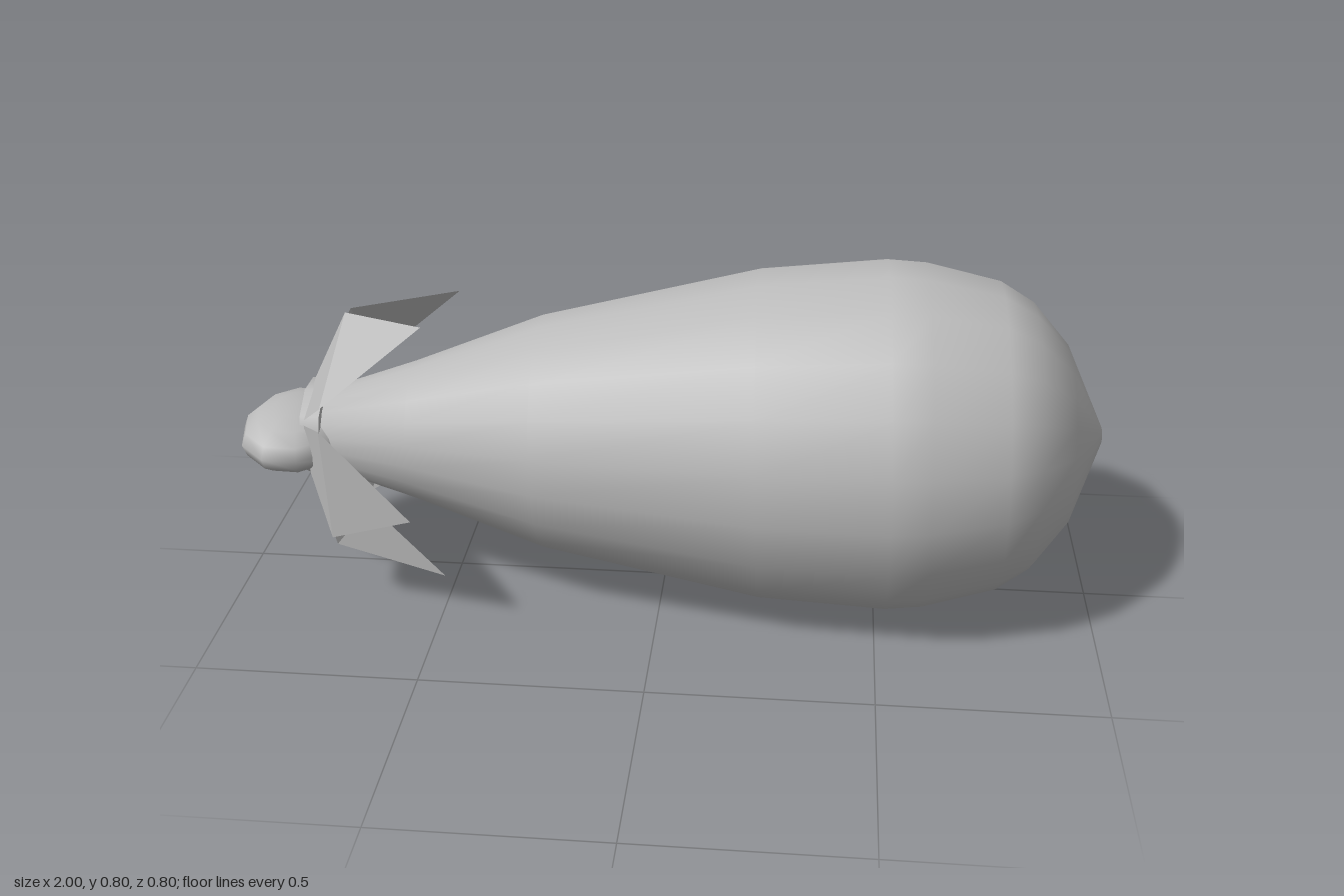
import * as THREE from 'three';

const skin = new THREE.MeshStandardMaterial({ color: 0xbbbbbb, side: THREE.DoubleSide });
skin.name = 'plain grey';

function part(name, geometry, parent) {
  const mesh = new THREE.Mesh(geometry, skin);
  mesh.name = name;
  parent.add(mesh);
  return mesh;
}

// One pointed sepal, bent back over the fruit; r is measured from the calyx axis (+z here)
function sepalGeometry() {
  const base = [-0.825, 0.1], mid = [-0.745, 0.242], tip = [-0.525, 0.363];
  const p = ([x, r], w) => [x, w, r];
  const bl = p(base, -0.065), br = p(base, 0.065);
  const ml = p(mid, -0.145), mr = p(mid, 0.145), t = p(tip, 0);
  const g = new THREE.BufferGeometry();
  const corners = [bl, mr, br, bl, ml, mr, ml, t, mr].flat();
  g.setAttribute('position', new THREE.Float32BufferAttribute(corners, 3));
  g.computeVertexNormals();
  return g;
}

export function createModel() {
  const model = new THREE.Group();
  model.name = 'eggplant';

  // Fruit: a long pear profile turned about the x axis, slightly tilted
  const profile = [
    [0, -0.82], [0.095, -0.8], [0.165, -0.58], [0.274, -0.28], [0.382, 0.22], [0.404, 0.51],
    [0.397, 0.595], [0.355, 0.76], [0.307, 0.835], [0.21, 0.915], [0.02, 0.997], [0, 1],
  ].map(([r, x]) => new THREE.Vector2(r, x));
  const bodyGeometry = new THREE.LatheGeometry(profile, 20, 0.11);
  bodyGeometry.rotateZ(-Math.PI / 2);
  const body = part('fruit', bodyGeometry, model);
  body.position.set(0, 0.392, 0);
  body.rotation.set(0, 0.012, 0.03);

  // Calyx: five sepals around a small five-sided collar
  const calyx = new THREE.Group();
  calyx.name = 'calyx';
  calyx.position.set(0, 0.373, 0.01);
  model.add(calyx);
  const leaf = sepalGeometry();
  for (let i = 0; i < 5; i++) {
    const angle = THREE.MathUtils.degToRad(-7 + 72 * i);
    part('sepal' + (i + 1), leaf, calyx).rotation.x = -angle;
  }
  const collar = new THREE.CylinderGeometry(0.115, 0.115, 0.045, 10);
  collar.rotateZ(-Math.PI / 2);
  part('collar', collar, calyx).position.x = -0.815;

  // Stem: a flattened low-poly knob
  const knob = new THREE.SphereGeometry(1, 10, 8);
  knob.scale(0.13, 0.073, 0.175);
  const stem = part('stem', knob, model);
  stem.position.set(-0.87, 0.366, 0.02);
  stem.rotation.z = -0.03;

  return model;
}
